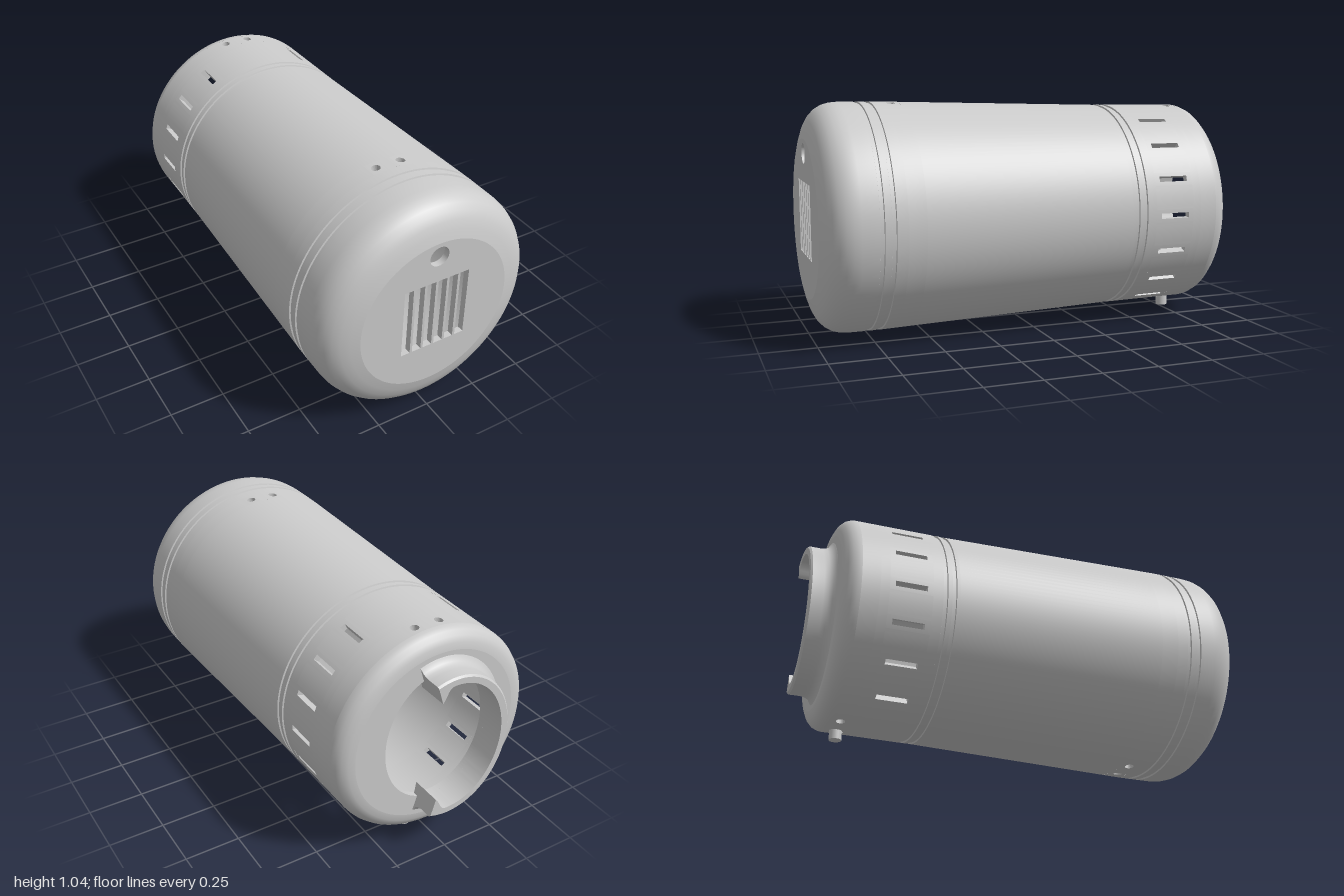
import * as THREE from 'three';
import { toCreasedNormals } from 'three/addons/utils/BufferGeometryUtils.js';

const WALL = 0.03, CY = 0.525, RAD = Math.PI / 180;
const material = new THREE.MeshStandardMaterial({ color: 0xcccccc, side: THREE.DoubleSide });

// Outer radius of the tapering side wall at a given z
function radius(z) {
  if (z > 0.7) return 0.52;
  if (z > -0.4) return THREE.MathUtils.mapLinear(z, -0.4, 0.7, 0.488, 0.52);
  return THREE.MathUtils.mapLinear(z, -0.82, -0.4, 0.484, 0.488);
}

function add(parent, name, geometry) {
  const mesh = new THREE.Mesh(geometry, material);
  mesh.name = name;
  parent.add(mesh);
  return mesh;
}

// Turn [radius, z] points around the z axis, from angle a0 to a1 (degrees from +x)
function turn(points, a0 = 0, a1 = 360) {
  const pts = points.map(([r, z]) => new THREE.Vector2(r, z));
  const segments = Math.max(2, Math.ceil((a1 - a0) / 2.5));
  const g = new THREE.LatheGeometry(pts, segments, (a0 + 90) * RAD, (a1 - a0) * RAD);
  return toCreasedNormals(g.rotateX(Math.PI / 2), 0.5);
}

// Outer and inner skin of one stretch of wall
function skins(parent, name, outer, inner, a0, a1) {
  add(parent, name, turn(outer, a0, a1));
  add(parent, name + 'Inside', turn([...inner].reverse(), a0, a1));
}

function wall(parent, name, z0, z1, a0, a1) {
  skins(parent, name, [[radius(z0), z0], [radius(z1), z1]],
    [[radius(z0) - WALL, z0], [radius(z1) - WALL, z1]], a0, a1);
}

function rect(shape, x0, y0, x1, y1) {
  shape.moveTo(x0, y0).lineTo(x1, y0).lineTo(x1, y1).lineTo(x0, y1).closePath();
  return shape;
}

// Small flat piece with a hole, bent around the wall
function bentPiece(angle, half, z0, z1, hole) {
  const w = half * RAD * 0.5;
  const shape = rect(new THREE.Shape(), -w, z0, w, z1);
  shape.holes.push(hole);
  const g = new THREE.ExtrudeGeometry(shape, { depth: WALL, bevelEnabled: false, curveSegments: 12 });
  const p = g.attributes.position, n = g.attributes.normal;
  for (let i = 0; i < p.count; i++) {
    const f = angle * RAD + p.getX(i) / 0.5, c = Math.cos(f), s = Math.sin(f);
    const z = p.getY(i), r = radius(z) - WALL + p.getZ(i);
    const nt = n.getX(i), nz = n.getY(i), nr = n.getZ(i);
    p.setXYZ(i, r * c, r * s, z);
    n.setXYZ(i, nr * c - nt * s, nr * s + nt * c, nz);
  }
  return g;
}

// Ring of wall with holed pieces at the given angles and plain wall between
function holedBand(parent, name, z0, z1, angles, half, makeHole) {
  angles.forEach((a, i) => {
    add(parent, name, bentPiece(a, half, z0, z1, makeHole()));
    const next = i + 1 < angles.length ? angles[i + 1] : angles[0] + 360;
    if (next - a > 2 * half + 0.01) wall(parent, name + 'Wall', z0, z1, a + half, next - half);
  });
}

// Partial oval collar with a flared foot and inward hooks at both ends
function collarGeometry() {
  const outer = [[0.05, -0.88], [0.03, -0.893], [0.012, -0.903], [0.003, -0.92], [0, -0.94], [0, -0.992], [-0.008, -1]];
  const count = outer.length + 2, steps = 96, start = 72 * RAD, end = 288 * RAD;
  const pos = [], index = [];
  for (let i = 0; i <= steps; i++) {
    const t = start + (end - start) * i / steps, c = Math.cos(t), s = Math.sin(t);
    for (const [o, z] of outer) pos.push((0.295 + o) * c, (0.345 + o) * s, z);
    const near = Math.min(t - start, end - t) / (14 * RAD);
    const k = 1 - 0.17 * (1 - THREE.MathUtils.smoothstep(near, 0, 1));
    for (const z of [-1, -0.86]) pos.push(0.255 * c * k, 0.31 * s * k, z);
  }
  for (let i = 0; i < steps; i++) {
    for (let j = 0; j < count; j++) {
      const a = i * count + j, b = i * count + (j + 1) % count;
      index.push(a, b, a + count, b, b + count, a + count);
    }
  }
  // End faces
  const last = steps * count, hub = count - 1;
  for (let j = 0; j < hub - 1; j++) {
    index.push(hub, j + 1, j, last + hub, last + j, last + j + 1);
  }
  const g = new THREE.BufferGeometry();
  g.setAttribute('position', new THREE.Float32BufferAttribute(pos, 3));
  g.setIndex(index);
  return toCreasedNormals(g, 0.6);
}

export function createModel() {
  const model = new THREE.Group();
  const body = new THREE.Group();
  body.name = 'housing';
  body.position.y = CY;
  model.add(body);

  // A pair of square grooves, listed in rising z
  const grooves = (zs) => zs.flatMap((z) => {
    const r = radius(z);
    return [[r, z - 0.01], [r - 0.007, z - 0.008], [r - 0.007, z + 0.008], [r, z + 0.01]];
  });

  // Rounded front end with its two grooves
  skins(body, 'frontShell',
    [[radius(0.655), 0.655], ...grooves([0.715, 0.765]), [0.52, 0.85], [0.517, 0.88], [0.508, 0.91],
      [0.492, 0.937], [0.468, 0.96], [0.438, 0.977], [0.4, 0.99], [0.36, 1]],
    [[radius(0.655) - WALL, 0.655], [0.49, 0.85], [0.475, 0.91], [0.44, 0.945], [0.36, 0.97]]);

  // Middle barrel with the rear pair of grooves
  skins(body, 'barrel',
    [[radius(-0.51), -0.51], ...grooves([-0.455, -0.415]), [radius(-0.39), -0.39], [radius(0.575), 0.575]],
    [[radius(-0.51) - WALL, -0.51], [radius(-0.4) - WALL, -0.4], [radius(0.575) - WALL, 0.575]]);

  // Rounded back end
  wall(body, 'backRing', -0.74, -0.7, 0, 360);
  skins(body, 'backShell',
    [[0.4, -0.89], [0.43, -0.886], [0.455, -0.874], [0.473, -0.856], [0.482, -0.835], [0.484, -0.82]],
    [[0.4, -0.86], [0.435, -0.85], [0.454, -0.82]]);

  // Pin holes, in pairs above and below
  for (const [z, a] of [[0.615, 6.7], [-0.78, 7.1]]) {
    holedBand(body, 'pinHoles', z - 0.04, z + 0.04, [90 - a, 90 + a, 270 - a, 270 + a], 3.5,
      () => new THREE.Path().absarc(0, z, 0.02, 0, Math.PI * 2, true));
  }

  // Vent slots, seven on each side
  const slotAngles = [];
  for (const side of [0, 180]) for (let i = -3; i <= 3; i++) slotAngles.push(side + i * 20);
  holedBand(body, 'ventSlots', -0.7, -0.51, slotAngles, 3.5,
    () => rect(new THREE.Path(), -0.0125, -0.675, 0.0125, -0.535));

  // Front plate with grille and round hole
  const front = new THREE.Shape().absarc(0, 0, 0.36, 0, Math.PI * 2);
  front.holes.push(new THREE.Path().absarc(0, 0.295, 0.046, 0, Math.PI * 2, true));
  for (let i = 0; i < 6; i++) {
    const x = (i - 2.5) * 0.0543;
    front.holes.push(rect(new THREE.Path(), x - 0.0215, -0.166, x + 0.0215, 0.168));
  }
  const plate = { depth: WALL, bevelEnabled: false, curveSegments: 72 };
  add(body, 'frontPlate', new THREE.ExtrudeGeometry(front, plate)).position.z = 1 - WALL;

  // Back plate with oval opening
  const back = new THREE.Shape().absarc(0, 0, 0.4, 0, Math.PI * 2);
  back.holes.push(new THREE.Path().absellipse(0, 0, 0.255, 0.31, 0, Math.PI * 2, true));
  add(body, 'backPlate', new THREE.ExtrudeGeometry(back, plate)).position.z = -0.89;

  add(body, 'collar', collarGeometry());

  // Peg under the back end
  const peg = add(model, 'peg', new THREE.CylinderGeometry(0.028, 0.028, 0.075, 24));
  peg.position.set(0.06, 0.0375, -0.775);
  return model;
}
